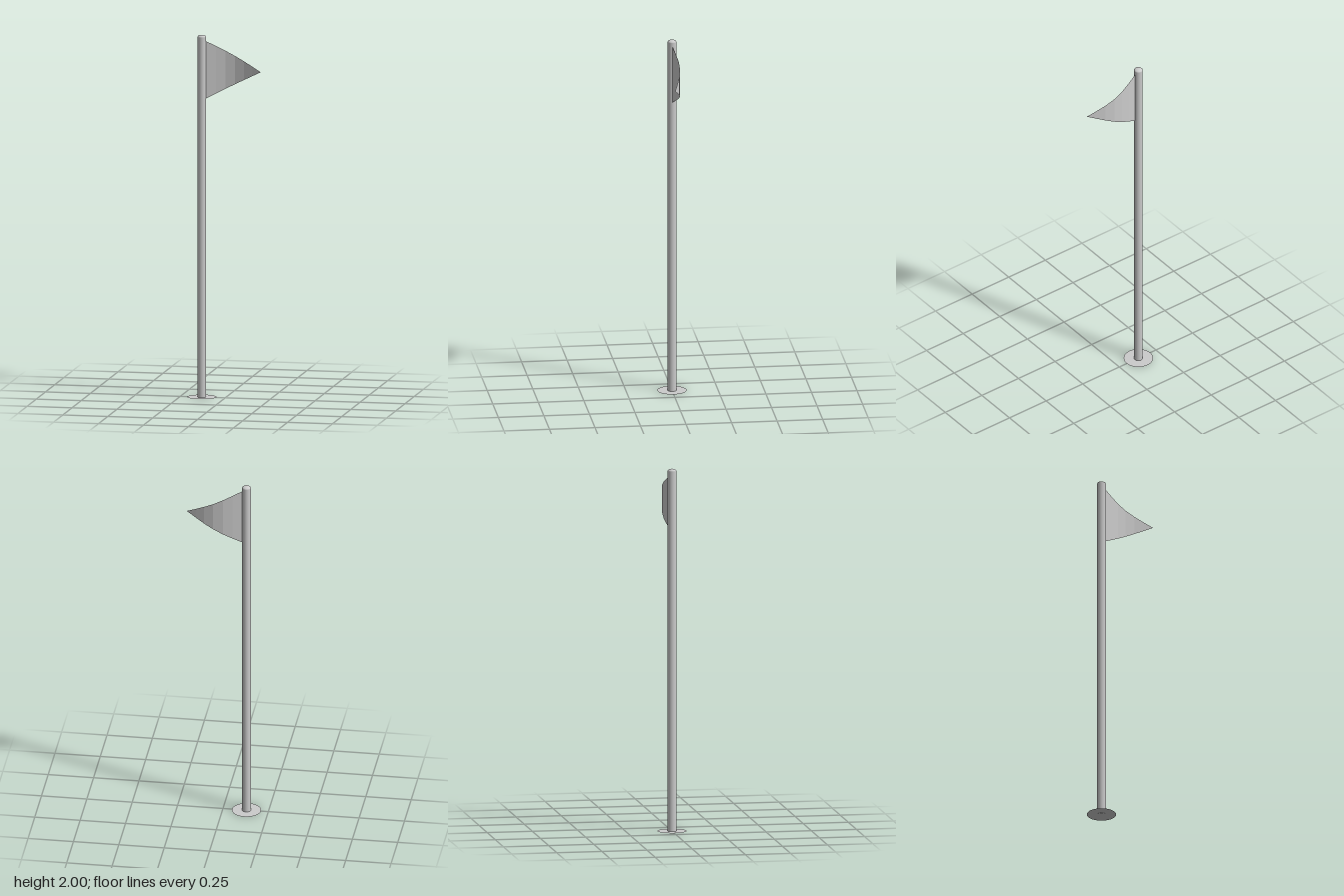
import * as THREE from 'three';

const POLE_X = -0.13;
const POLE_R = 0.024;

export function createModel() {
  const group = new THREE.Group();
  const smooth = new THREE.MeshStandardMaterial({ color: 0xcccccc });
  const thin = new THREE.MeshStandardMaterial({ color: 0xcccccc, side: THREE.DoubleSide, flatShading: true });

  const add = (name, geometry, material, x = 0, y = 0) => {
    const mesh = new THREE.Mesh(geometry, material);
    mesh.name = name;
    mesh.position.set(x, y, 0);
    group.add(mesh);
    return mesh;
  };

  // flat disc on the ground
  add('baseDisc', new THREE.CircleGeometry(0.08, 48).rotateX(-Math.PI / 2), thin, POLE_X, 0.001);

  // pole with a shallow domed cap
  const height = 1.988;
  add('pole', new THREE.CylinderGeometry(POLE_R, POLE_R, height, 24), smooth, POLE_X, height / 2);
  const dome = new THREE.SphereGeometry(POLE_R, 24, 6, 0, Math.PI * 2, 0, Math.PI / 2);
  add('poleCap', dome.scale(1, 0.5, 1), smooth, POLE_X, height);

  // triangular pennant: a strip that tapers to a point and waves in z
  const wave = new THREE.CatmullRomCurve3([
    new THREE.Vector3(-0.106, 0, 0),
    new THREE.Vector3(-0.016, 0, -0.02),
    new THREE.Vector3(0.036, 0, -0.0232),
    new THREE.Vector3(0.1, 0, -0.0125),
    new THREE.Vector3(0.203, 0, 0.024),
  ]);
  const flag = new THREE.PlaneGeometry(1, 1, 6, 1);
  const pos = flag.attributes.position;
  for (let i = 0; i < pos.count; i++) {
    const t = pos.getX(i) + 0.5;
    const p = wave.getPointAt(t);
    const taper = 1 - (p.x + 0.106) / 0.309;
    pos.setXYZ(i, p.x, 1.808 + pos.getY(i) * 0.315 * taper, p.z);
  }
  flag.computeVertexNormals();
  add('pennant', flag, thin);

  return group;
}
